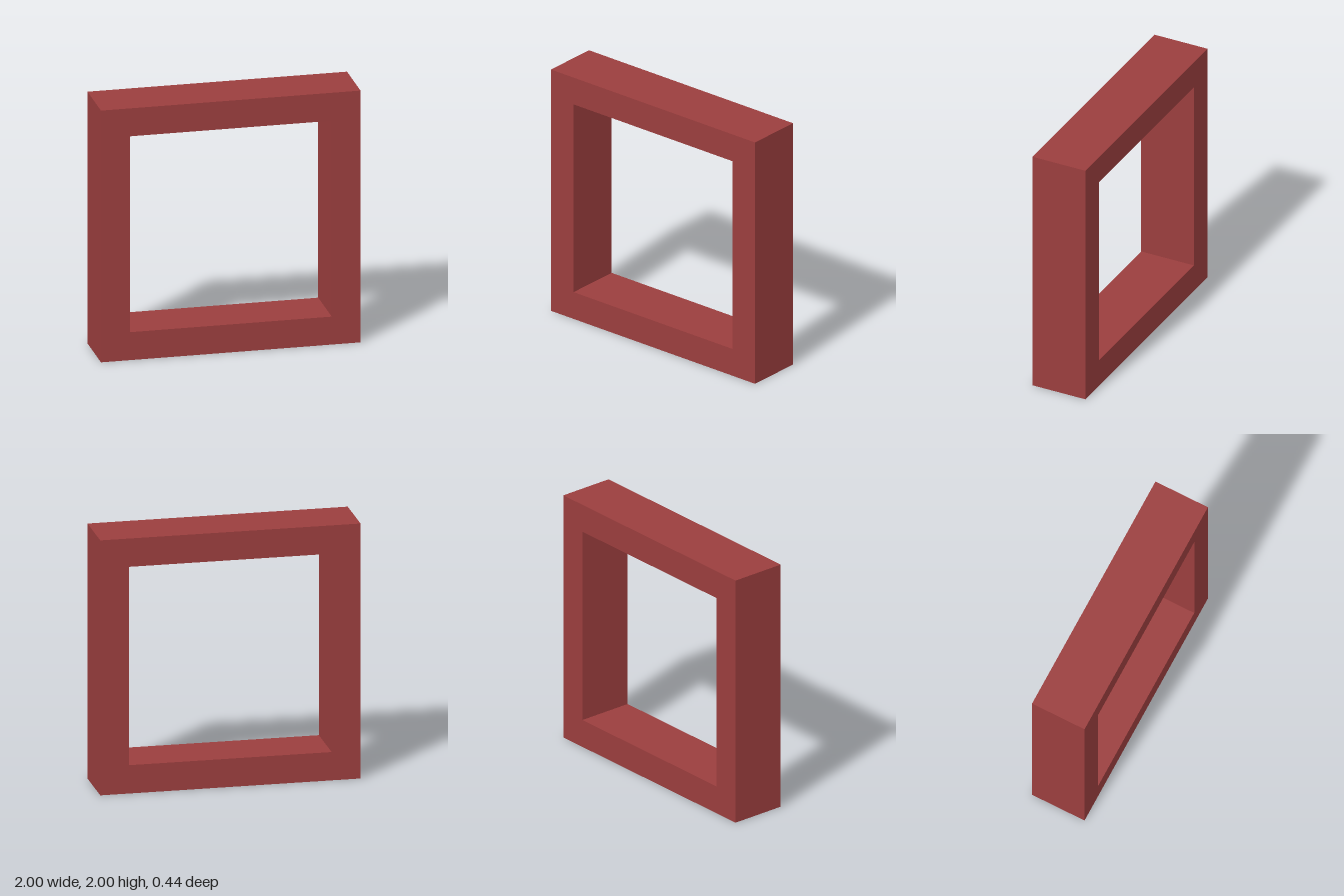
import * as THREE from 'three';

const SIZE = 2, BAR = 0.222, DEPTH = 0.444;

// Closed square outline centred on the origin
function square(Type, half) {
  return new Type([[-1, -1], [1, -1], [1, 1], [-1, 1]]
    .map(([x, y]) => new THREE.Vector2(x * half, y * half)));
}

export function createModel() {
  const group = new THREE.Group();
  group.name = 'squareFrame';

  // Square frame with an open centre
  const outline = square(THREE.Shape, SIZE / 2);
  outline.holes.push(square(THREE.Path, SIZE / 2 - BAR));
  const geometry = new THREE.ExtrudeGeometry(outline, { depth: DEPTH, bevelEnabled: false });
  geometry.translate(0, SIZE / 2, -DEPTH / 2);

  const frame = new THREE.Mesh(geometry, new THREE.MeshStandardMaterial({ color: 0x9b3e3e }));
  frame.name = 'frame';
  group.add(frame);
  return group;
}
